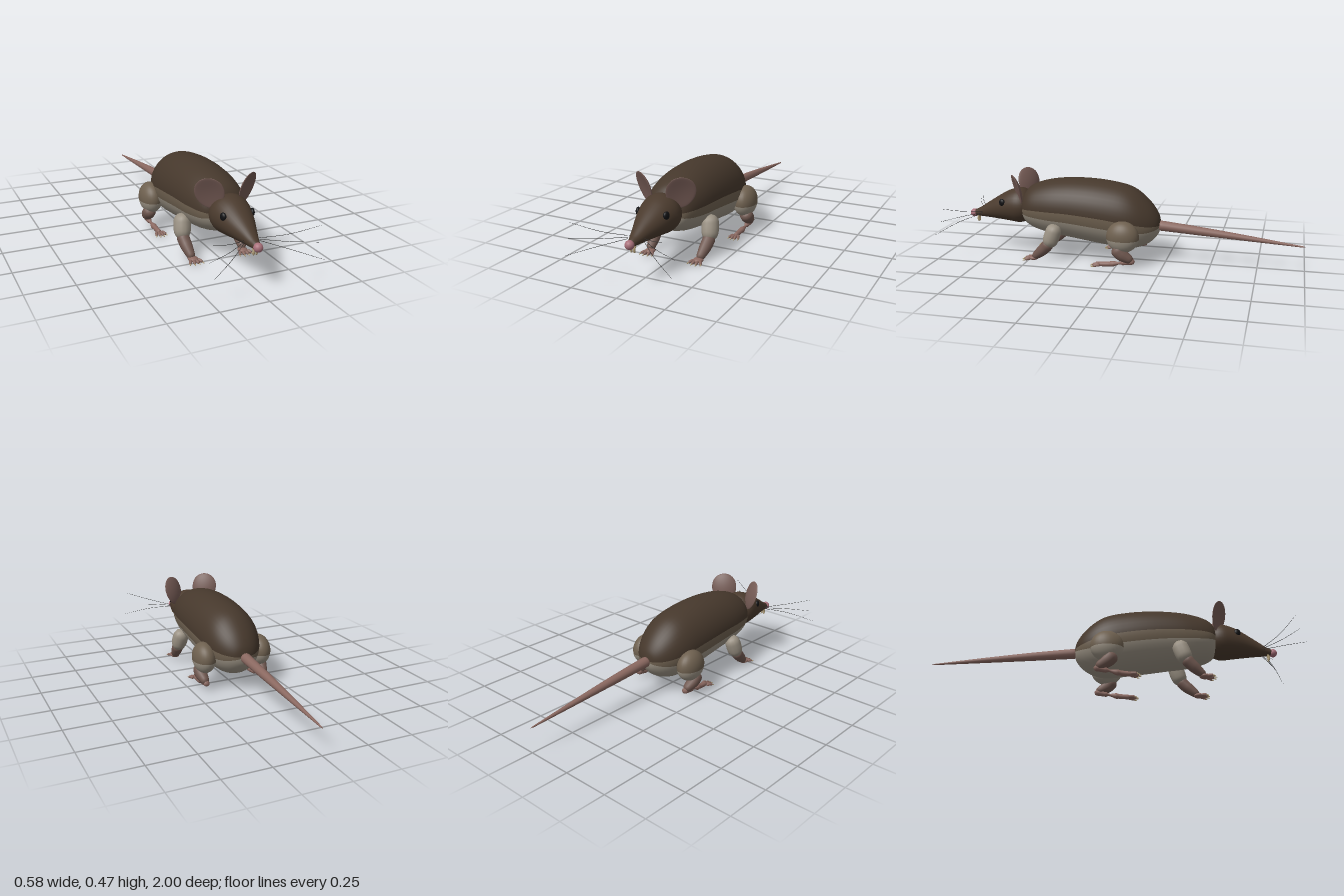
import * as THREE from 'three';
import { mergeVertices } from 'three/addons/utils/BufferGeometryUtils.js';

const mat = (color) => new THREE.MeshStandardMaterial({ color });
const V = (p) => new THREE.Vector3(p[0], p[1], p[2]);

export function createModel() {
  const root = new THREE.Group();
  const brown = mat(0x46382c), headBrown = mat(0x4a3a2d), tan = mat(0x6e604f), cream = mat(0x9a9183);
  const limb = mat(0x705850), pink = mat(0x8a6860), earPink = mat(0x745a54), nosePink = mat(0xa8707a);
  const black = mat(0x101012), ivory = mat(0xb5a27c), whiskerGrey = mat(0x333333);

  const add = (name, geometry, material, parent = root) => {
    const m = new THREE.Mesh(geometry, material);
    m.name = name;
    parent.add(m);
    return m;
  };

  // Closed skin through oval sections [z, bottom, top, halfWidth], front to back.
  // bandOf(angle) picks the material group for each lengthwise strip.
  const loft = (sections, rings, sides, bandOf = () => 0) => {
    const ranges = new THREE.CatmullRomCurve3(sections.map((s) => V([s[0], s[1], s[2]])));
    const widths = new THREE.CatmullRomCurve3(sections.map((s) => V([s[0], s[3], 0])));
    const pos = [], idx = [], g = new THREE.BufferGeometry();
    for (let i = 0; i <= rings; i++) {
      const a = ranges.getPoint(i / rings), w = Math.max(0, widths.getPoint(i / rings).y);
      for (let j = 0; j < sides; j++) {
        const t = (j / sides) * Math.PI * 2;
        pos.push(w * Math.cos(t), (a.y + a.z) / 2 + ((a.z - a.y) / 2) * Math.sin(t), a.x);
      }
    }
    for (let j = 0; j < sides; j++) {
      const k = (j + 1) % sides;
      for (let i = 0; i < rings; i++) {
        const a = i * sides + j, b = i * sides + k;
        idx.push(a, b, a + sides, b, b + sides, a + sides);
      }
      g.addGroup(j * rings * 6, rings * 6, bandOf(((j + 0.5) / sides) * Math.PI * 2));
    }
    g.setAttribute('position', new THREE.Float32BufferAttribute(pos, 3));
    // Reverse the winding so faces look outward
    for (let n = 0; n < idx.length; n += 3) [idx[n], idx[n + 1]] = [idx[n + 1], idx[n]];
    g.setIndex(idx);
    g.computeVertexNormals();
    return g;
  };

  // Round-ended tapering tube through points [x, y, z, radius]
  const taper = (points, rings = 20, sides = 12) => {
    const curve = new THREE.CatmullRomCurve3(points.map(V));
    const radii = new THREE.CatmullRomCurve3(points.map((p) => V([p[3], 0, 0])));
    const g = new THREE.TubeGeometry(curve, rings, 1, sides);
    const p = g.attributes.position, length = curve.getLength(), v = new THREE.Vector3();
    for (let i = 0; i <= rings; i++) {
      const u = i / rings, c = curve.getPointAt(u), r = radii.getPoint(u).x;
      const d = Math.min(1, (Math.min(u, 1 - u) * length) / r);
      const round = r * Math.sqrt(1 - (1 - d) ** 2);
      for (let j = 0; j <= sides; j++) {
        const n = i * (sides + 1) + j;
        v.fromBufferAttribute(p, n).sub(c).multiplyScalar(round).add(c);
        p.setXYZ(n, v.x, v.y, v.z);
      }
    }
    g.deleteAttribute('uv');
    g.deleteAttribute('normal');
    const merged = mergeVertices(g, 1e-6);
    merged.computeVertexNormals();
    return merged;
  };

  const ellipsoid = (name, c, r, material, parent = root, w = 20, h = 14) => {
    const m = add(name, new THREE.SphereGeometry(1, w, h), material, parent);
    m.position.set(...c);
    m.scale.set(...r);
    return m;
  };

  // Body: dark back, tan flanks, pale belly
  const body = loft([
    [0.565, 0.27, 0.28, 0], [0.555, 0.2, 0.35, 0.085], [0.52, 0.165, 0.395, 0.122], [0.42, 0.132, 0.432, 0.15],
    [0.27, 0.11, 0.45, 0.163], [0.08, 0.083, 0.443, 0.165], [-0.06, 0.07, 0.412, 0.152],
    [-0.15, 0.1, 0.345, 0.115], [-0.205, 0.155, 0.272, 0.06], [-0.222, 0.205, 0.215, 0],
  ], 48, 40, (t) => {
    const s = Math.sin(t);
    return s > 0 ? 0 : s > -0.25 ? 1 : 2;
  });
  add('body', body, [brown, tan, cream]);

  // Head tapering to the muzzle
  add('head', loft([
    [0.525, 0.27, 0.29, 0], [0.54, 0.2, 0.355, 0.085], [0.585, 0.178, 0.378, 0.102], [0.64, 0.182, 0.367, 0.095],
    [0.7, 0.188, 0.337, 0.078], [0.78, 0.194, 0.287, 0.048], [0.84, 0.197, 0.248, 0.027],
    [0.872, 0.2, 0.232, 0.016], [0.88, 0.215, 0.217, 0],
  ].reverse(), 32, 32), [headBrown]);
  ellipsoid('nose', [0, 0.214, 0.878], [0.023, 0.023, 0.023], nosePink);

  // Tail
  add('tail', taper([
    [0, 0.207, -0.19, 0.029], [0, 0.19, -0.4, 0.023], [0, 0.168, -0.65, 0.014], [0, 0.135, -1, 0.003],
  ], 48, 14), pink);

  // Four toes with claws, spreading forward from a foot
  const toes = (group, s, x, y, z, spread, length) => {
    for (let i = 0; i < 4; i++) {
      const f = i / 1.5 - 1, dx = f * spread, dz = length * (1 - 0.25 * f * f);
      const from = x + dx * 0.5, to = x + dx;
      add('toe', taper([
        [s * from, y, z, 0.009], [s * (from + to) / 2, y, z + dz * 0.5, 0.008], [s * to, 0.0075, z + dz, 0.007],
      ], 10, 8), pink, group);
      add('claw', taper([
        [s * to, 0.008, z + dz - 0.004, 0.004], [s * (to + dx * 0.1), 0.004, z + dz + 0.013, 0.0015],
      ], 6, 6), ivory, group);
    }
  };

  for (const s of [1, -1]) {
    const side = s > 0 ? 'left' : 'right';
    const group = (name) => {
      const g = new THREE.Group();
      g.name = side + name;
      root.add(g);
      return g;
    };

    // Ear: thin, slightly cupped oval narrowing at its base
    const earShape = new THREE.SphereGeometry(1, 24, 16);
    const p = earShape.attributes.position;
    for (let i = 0; i < p.count; i++) {
      const x = p.getX(i), y = p.getY(i), z = p.getZ(i);
      p.setXYZ(i, x * 0.073 * (1 + 0.1 * y), y * 0.086, z * 0.009 + 0.012 * (x * x + y * y - 0.5));
    }
    earShape.computeVertexNormals();
    const ear = add(side + 'Ear', earShape, earPink);
    ear.position.set(s * 0.098, 0.391, 0.57);
    ear.rotation.set(0.27, s * 0.58, -s * 0.1, 'YXZ');

    // Eye and front tooth
    const eye = ellipsoid(side + 'Eye', [s * 0.077, 0.302, 0.675], [0.012, 0.021, 0.019], black);
    eye.rotation.y = -s * 0.3;
    add(side + 'Tooth', taper([
      [s * 0.008, 0.205, 0.846, 0.007], [s * 0.008, 0.185, 0.853, 0.0065], [s * 0.008, 0.165, 0.85, 0.004],
    ], 12, 8), ivory);

    // Whiskers
    const whiskers = group('Whiskers');
    for (const [y, z] of [[0.304, 0.95], [0.225, 0.965], [0.148, 0.995]]) {
      const dy = y - 0.225;
      add('whisker', taper([
        [s * 0.03, 0.225 + dy * 0.05, 0.81, 0.0013], [s * 0.15, 0.225 + dy * 0.42, 0.81 + (z - 0.81) * 0.55, 0.0011],
        [s * 0.29, y, z, 0.0006],
      ], 12, 5), whiskerGrey, whiskers);
    }

    // Front leg
    const front = group('FrontLeg');
    add('upperArm', taper([
      [s * 0.138, 0.215, 0.34, 0.042], [s * 0.147, 0.165, 0.355, 0.045], [s * 0.157, 0.085, 0.383, 0.038],
    ]), cream, front);
    add('forearm', taper([
      [s * 0.157, 0.118, 0.367, 0.034], [s * 0.152, 0.075, 0.405, 0.031], [s * 0.142, 0.014, 0.475, 0.018],
    ]), limb, front);
    ellipsoid('paw', [s * 0.14, 0.014, 0.475], [0.026, 0.013, 0.03], pink, front);
    toes(front, s, 0.139, 0.012, 0.485, 0.034, 0.04);

    // Hind leg: round thigh with a pale underside, shin and long foot
    const hind = group('HindLeg');
    [[tan, 0], [cream, 0.55]].forEach(([m, start], i) => {
      const len = i ? 0.45 : 0.55;
      const cap = new THREE.SphereGeometry(0.086, 28, 12, 0, Math.PI * 2, start * Math.PI, len * Math.PI);
      const thigh = add(i ? 'thighUnderside' : 'thigh', cap, m, hind);
      thigh.position.set(s * 0.165, 0.175, -0.042);
      thigh.scale.set(0.72, 1, 1.04);
    });
    add('shin', taper([
      [s * 0.178, 0.125, 0.0, 0.04], [s * 0.182, 0.085, -0.035, 0.034], [s * 0.175, 0.045, -0.1, 0.019],
    ]), limb, hind);
    add('foot', taper([
      [s * 0.175, 0.047, -0.112, 0.018], [s * 0.172, 0.03, -0.03, 0.014],
      [s * 0.167, 0.018, 0.04, 0.014], [s * 0.165, 0.014, 0.095, 0.013],
    ], 24), pink, hind);
    toes(hind, s, 0.165, 0.012, 0.08, 0.028, 0.048);
  }

  return root;
}
